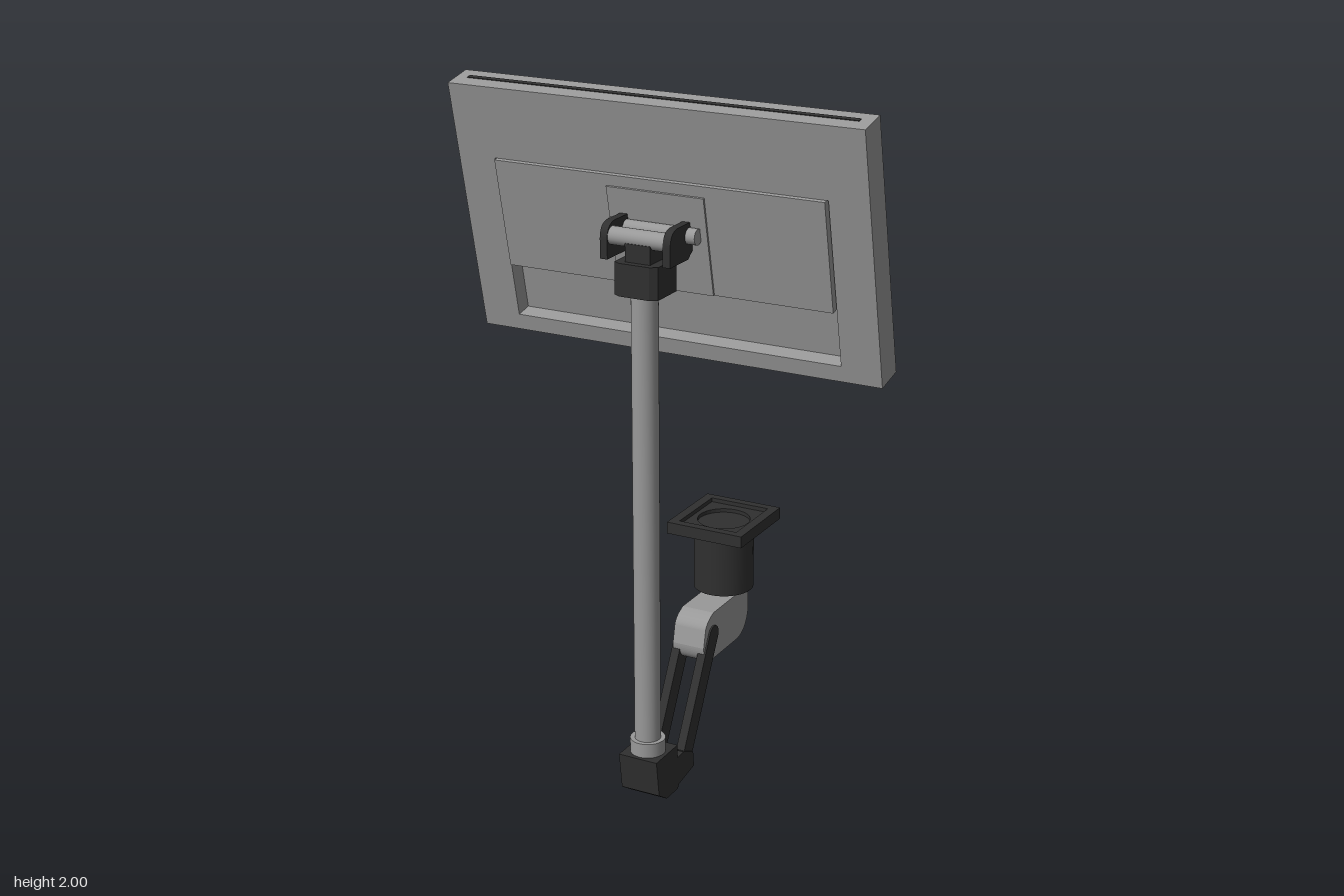
import * as THREE from 'three';

const grey = new THREE.MeshStandardMaterial({ color: 0x999999 });
grey.name = 'satin grey';
const dark = new THREE.MeshStandardMaterial({ color: 0x303030 });
dark.name = 'dark plastic';

function add(parent, name, geo, mat, x = 0, y = 0, z = 0) {
  const m = new THREE.Mesh(geo, mat);
  m.name = name;
  m.position.set(x, y, z);
  parent.add(m);
  return m;
}
const box = (w, h, d) => new THREE.BoxGeometry(w, h, d);
const cyl = (r, h, n = 32) => new THREE.CylinderGeometry(r, r, h, n);
const rod = (r, len) => cyl(r, len, 24).rotateZ(Math.PI / 2);
const shapeOf = (pts) => new THREE.Shape(pts.map(([a, b]) => new THREE.Vector2(a, b)));
const extrude = (shape, depth) =>
  new THREE.ExtrudeGeometry(shape, { depth, bevelEnabled: false, curveSegments: 16 });

// Side profile in (z, y), extruded symmetrically along x
const sideProfile = (shape, width) =>
  extrude(shape, width).translate(0, 0, -width / 2).rotateY(-Math.PI / 2);

// Plan outline in (x, -z), extruded upwards
const planProfile = (shape, height) => extrude(shape, height).rotateX(-Math.PI / 2);

const rect = (x0, y0, x1, y1) => [[x0, y0], [x1, y0], [x1, y1], [x0, y1]];

function withHole(outer, hole) {
  const s = shapeOf(outer);
  s.holes.push(hole);
  return s;
}

function createScreen() {
  const g = new THREE.Group();
  g.name = 'screen';
  g.position.set(0, 1.633, 0.122);
  g.rotation.x = 0.213;
  const W = 0.61, H = 0.367;

  // Display slab with a rear frame around the recess
  add(g, 'displaySlab', box(2 * W, 2 * H, 0.042), grey, 0, 0, -0.025);
  const frame = withHole(rect(-W, -H, W, H), shapeOf(rect(-0.495, -0.32, 0.495, 0.16)));
  add(g, 'rearFrame', extrude(frame, 0.05), grey, 0, 0, -0.004);

  // Raised rear cover with its mounting plate
  add(g, 'rearCover', box(0.98, 0.317, 0.062), grey, 0, 0.0015, 0.027);
  add(g, 'mountPlate', box(0.29, 0.284, 0.006), grey, 0, -0.014, 0.061);

  // Dark vent slots along the edges
  for (const s of [-1, 1])
    add(g, s > 0 ? 'topSlot' : 'bottomSlot', box(1.15, 0.004, 0.014), dark, 0, s * H, -0.004);
  add(g, 'sideSlot', box(0.004, 0.66, 0.014), dark, -W, 0, -0.004);
  return g;
}

function createHinge() {
  const g = new THREE.Group();
  g.name = 'tiltHinge';

  // Chamfered socket on the pole
  const socket = shapeOf([[-0.065, -0.21], [0.065, -0.21], [0.065, -0.31], [0.045, -0.322],
    [-0.045, -0.322], [-0.065, -0.31]].reverse());
  add(g, 'poleSocket', planProfile(socket, 0.09), dark, 0, 1.485, 0);
  add(g, 'hingeNeck', box(0.075, 0.06, 0.075), dark, 0, 1.595, 0.265);

  // Rounded cheeks holding the axle
  const cheek = new THREE.Shape();
  cheek.moveTo(0.18, 1.595);
  cheek.lineTo(0.205, 1.575);
  cheek.lineTo(0.305, 1.575);
  cheek.lineTo(0.305, 1.63);
  cheek.quadraticCurveTo(0.303, 1.672, 0.26, 1.673);
  cheek.lineTo(0.19, 1.673);
  for (const x of [-0.1, 0.087])
    add(g, 'hingeCheek', sideProfile(cheek, 0.022), dark, x, 0, 0);
  add(g, 'hingeAxle', rod(0.025, 0.18), grey, -0.006, 1.635, 0.278);
  add(g, 'hingeBolt', rod(0.022, 0.265), grey, -0.007, 1.638, 0.202);
  return g;
}

function createFoot() {
  const g = new THREE.Group();
  g.name = 'lowerJoint';
  const body = shapeOf([[0.325, 0.14], [0.2, 0.14], [0.2, 0.1], [0.165, 0.102], [0.105, 0.075],
    [0.1, 0.028], [0.19, 0.012], [0.2, 0.0], [0.265, 0.0], [0.31, 0.03]]);
  add(g, 'jointBody', sideProfile(body, 0.12), dark);
  add(g, 'poleCollar', cyl(0.05, 0.045), grey, 0, 0.16, 0.265);
  return g;
}

function createArm() {
  const g = new THREE.Group();
  g.name = 'supportArm';

  // Pair of slanted round-ended rails
  const a = new THREE.Vector2(0.13, 0.06), b = new THREE.Vector2(-0.04, 0.383);
  const t = Math.atan2(b.y - a.y, b.x - a.x), q = Math.PI / 2;
  const rail = new THREE.Shape();
  rail.absarc(b.x, b.y, 0.028, t - q, t + q, false);
  rail.absarc(a.x, a.y, 0.028, t + q, t + 3 * q, false);
  for (const s of [-1, 1])
    add(g, 'rail', sideProfile(rail, 0.026), dark, s * 0.042 - 0.003, 0, 0);

  // Light knuckle linking rails to the swivel
  const knuckle = new THREE.Shape();
  knuckle.moveTo(0.016, 0.36);
  knuckle.quadraticCurveTo(0.015, 0.31, -0.03, 0.305);
  knuckle.lineTo(-0.2, 0.305);
  knuckle.quadraticCurveTo(-0.255, 0.312, -0.268, 0.37);
  knuckle.lineTo(-0.268, 0.45);
  knuckle.lineTo(-0.045, 0.45);
  knuckle.quadraticCurveTo(0, 0.435, 0.005, 0.41);
  add(g, 'knuckle', sideProfile(knuckle, 0.1), grey, -0.003, 0, 0);
  return g;
}

function createMount() {
  const g = new THREE.Group();
  g.name = 'swivelMount';
  g.position.z = -0.2;
  add(g, 'swivelNeck', cyl(0.04, 0.04), grey, 0, 0.46, 0);
  add(g, 'swivelDrum', cyl(0.088, 0.187), dark, 0, 0.563, 0);

  // Square plate with a shallow recess and a round well
  const R = 0.12, D = 0.127;
  add(g, 'plateBase', box(2 * R, 0.012, 2 * D), dark, 0, 0.661, 0);
  const well = new THREE.Path().absarc(0, 0, 0.077, 0, 2 * Math.PI, true);
  add(g, 'plateFloor', planProfile(withHole(rect(-R, -D, R, D), well), 0.011), dark, 0, 0.667, 0);
  const rim = withHole(rect(-R, -D, R, D), shapeOf(rect(-0.092, -0.102, 0.092, 0.102)));
  add(g, 'plateRim', planProfile(rim, 0.012), dark, 0, 0.678, 0);
  return g;
}

export function createModel() {
  const model = new THREE.Group();
  model.name = 'screenOnSwivelArm';
  model.add(createScreen(), createHinge(), createFoot(), createArm(), createMount());
  add(model, 'pole', cyl(0.037, 1.36), grey, 0, 0.82, 0.265);
  return model;
}
